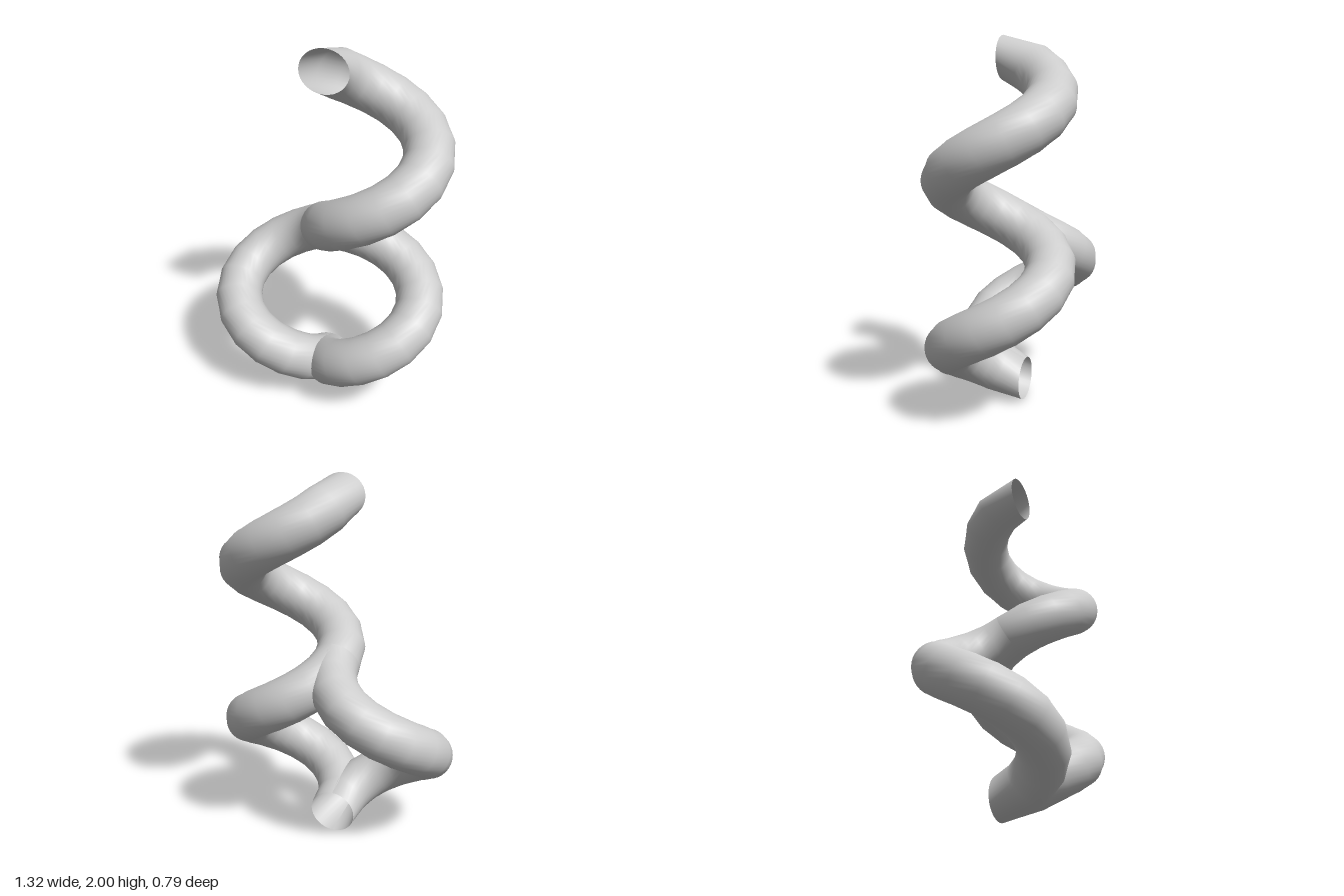
import * as THREE from 'three';

const COIL = 0.264;   // radius of the coil's centre line
const TUBE = 0.132;   // radius of the tube
const PITCH = 0.883;  // rise per turn
const BASE = 0.117;   // height of the lowest centre point
const STEPS = 16;     // rings per turn
const SIDES = 32;
const END = 0.062;    // depth of the flat, upright tube mouths

// Open coiled tube beside the x = 0 plane; side is +1 or -1.
// flatTop squares the upper mouth; the lower mouth is always squared.
function coilGeometry(side, turns, flatTop) {
  const rings = turns * STEPS;
  const positions = [];
  const index = [];
  const slope = Math.atan(PITCH / (2 * Math.PI * COIL));
  const c = Math.cos(slope), s = Math.sin(slope);
  for (let j = 0; j <= rings; j++) {
    const t = (j / STEPS) * Math.PI * 2;
    const radial = new THREE.Vector3(-Math.cos(t), 0, Math.sin(t));
    const tangent = new THREE.Vector3(Math.sin(t) * c, s, Math.cos(t) * c);
    const binormal = tangent.clone().cross(radial);
    const centre = new THREE.Vector3(COIL, BASE + (PITCH * j) / STEPS, 0).addScaledVector(radial, COIL);
    for (let k = 0; k < SIDES; k++) {
      const a = (k / SIDES) * Math.PI * 2;
      const p = centre.clone()
        .addScaledVector(radial, TUBE * Math.cos(a))
        .addScaledVector(binormal, TUBE * Math.sin(a));
      if (j === 0) p.z = -END;
      if (j === rings && flatTop) p.z = END;
      positions.push(side * p.x, p.y, p.z);
      if (j < rings) {
        const k2 = (k + 1) % SIDES;
        const p00 = j * SIDES + k, p01 = j * SIDES + k2;
        const p10 = p00 + SIDES, p11 = p01 + SIDES;
        if (side > 0) index.push(p00, p01, p11, p00, p11, p10);
        else index.push(p00, p11, p01, p00, p10, p11);
      }
    }
  }
  const geometry = new THREE.BufferGeometry();
  geometry.setAttribute('position', new THREE.Float32BufferAttribute(positions, 3));
  geometry.setIndex(index);
  geometry.computeVertexNormals();
  return geometry;
}

export function createModel() {
  const group = new THREE.Group();
  group.name = 'twinCoil';
  const material = new THREE.MeshStandardMaterial({ color: 0xcccccc, side: THREE.DoubleSide });

  // Two-turn coil running from the bottom mouth to the top mouth
  const mainCoil = new THREE.Mesh(coilGeometry(1, 2, true), material);
  mainCoil.name = 'mainCoil';

  // Mirrored single turn that joins the main coil at its foot and middle
  const branchCoil = new THREE.Mesh(coilGeometry(-1, 1, false), material);
  branchCoil.name = 'branchCoil';

  group.add(mainCoil, branchCoil);
  return group;
}
